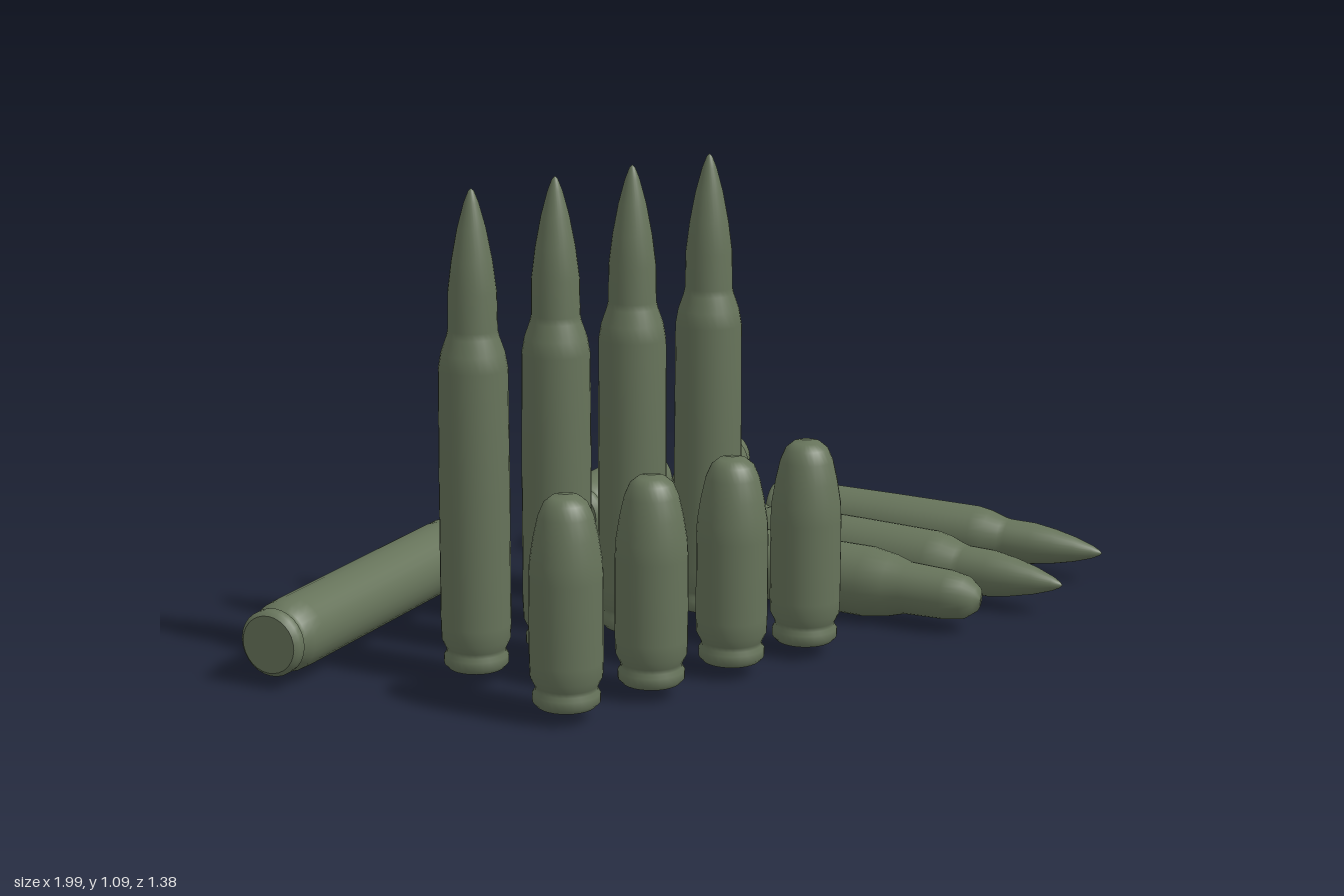
import * as THREE from 'three';

const olive = new THREE.MeshStandardMaterial({ color: 0x66735a });
olive.name = 'oliveMetal';

// Rimmed base shared by every cartridge: [radius, height]; a repeated point keeps a hard edge
const base = (r) => [
  [0, 0], [r * 0.8, 0], [r * 0.8, 0], [r * 0.92, 0.01], [r * 0.92, 0.028],
  [r * 0.84, 0.036], [r * 0.86, 0.046], [r * 0.98, 0.065], [r, 0.1],
];

// Bottlenecked rifle round: body, shoulder, neck, pointed bullet
const rifle = (r, shoulder, length) => {
  const tip = length - shoulder - 0.07;
  const n = r * 0.7;
  return [
    ...base(r), [r, shoulder * 0.6], [r * 0.98, shoulder - 0.01], [r * 0.9, shoulder + 0.025],
    [n * 1.06, shoulder + 0.06], [n, shoulder + 0.075], [n * 0.98, shoulder + 0.07 + tip * 0.28],
    [n * 0.82, shoulder + 0.07 + tip * 0.5], [n * 0.58, shoulder + 0.07 + tip * 0.72],
    [n * 0.3, shoulder + 0.07 + tip * 0.9], [n * 0.12, length - 0.006], [0, length],
  ];
};

// Rifle round with a rounded bullet
const bluntRifle = (r, shoulder, length) => [
  ...base(r), [r, shoulder - 0.03], [r * 0.88, shoulder + 0.03], [r * 0.74, shoulder + 0.07],
  [r * 0.7, length - 0.08], [r * 0.6, length - 0.035], [r * 0.36, length - 0.008], [0, length],
];

// Short straight round with a domed bullet
const pistol = [
  ...base(0.079), [0.079, 0.28], [0.077, 0.32], [0.069, 0.37], [0.059, 0.415],
  [0.047, 0.443], [0.03, 0.457], [0, 0.46],
];

// Spent case: straight tube closed by a slightly flared mouth
const spentCase = (r, length) => [
  ...base(r), [r, length - 0.05], [r * 0.97, length - 0.03], [r * 0.99, length - 0.008],
  [r * 0.92, length], [r * 0.92, length], [0, length],
];

function turned(name, profile) {
  const points = profile.map(([x, y]) => new THREE.Vector2(x, y));
  const mesh = new THREE.Mesh(new THREE.LatheGeometry(points, 28), olive);
  mesh.name = name;
  return mesh;
}

// Lays a turned part on the ground from its base point towards a heading
function lay(mesh, from, to) {
  const a = new THREE.Vector3(...from);
  const dir = new THREE.Vector3(...to).sub(a).normalize();
  mesh.position.copy(a);
  mesh.quaternion.setFromUnitVectors(new THREE.Vector3(0, 1, 0), dir);
  return mesh;
}

export function createModel() {
  const model = new THREE.Group();
  model.name = 'cartridgeSet';

  // Back row of tall rounds
  [-0.58, -0.353, -0.135, 0.091].forEach((x, i) => {
    const round = turned(`standingRifleRound${i + 1}`, rifle(0.077, 0.68, 1.06));
    round.position.set(x, 0.03, 0.163);
    model.add(round);
  });

  // Front row of short rounds
  [-0.589, -0.354, -0.123, 0.097].forEach((x, i) => {
    const round = turned(`standingPistolRound${i + 1}`, pistol);
    round.position.set(x, 0.03, 0.487);
    model.add(round);
  });

  // Three rounds lying at the right
  model.add(
    lay(turned('lyingBluntRound', bluntRifle(0.082, 0.44, 0.69)), [0.25, 0.084, 0.005], [0.49, 0.08, 0.65]),
    lay(turned('lyingMiddleRound', rifle(0.08, 0.5, 0.82)), [0.45, 0.083, -0.085], [0.727, 0.075, 0.685]),
    lay(turned('lyingOuterRound', rifle(0.073, 0.54, 0.85)), [0.637, 0.09, -0.203], [0.998, 0.072, 0.567]),
  );

  // Spent cases lying behind
  model.add(
    lay(turned('longSpentCase', spentCase(0.081, 0.79)), [-0.965, 0.1, -0.073], [-0.24, 0.1, -0.385]),
    lay(turned('shortSpentCase', spentCase(0.079, 0.405)), [0.165, 0.102, -0.42], [0.535, 0.102, -0.578]),
    lay(turned('tiltedSpentCase', spentCase(0.08, 0.325)), [0.853, 0.092, -0.638], [0.6, 0.092, -0.438]),
  );

  return model;
}
